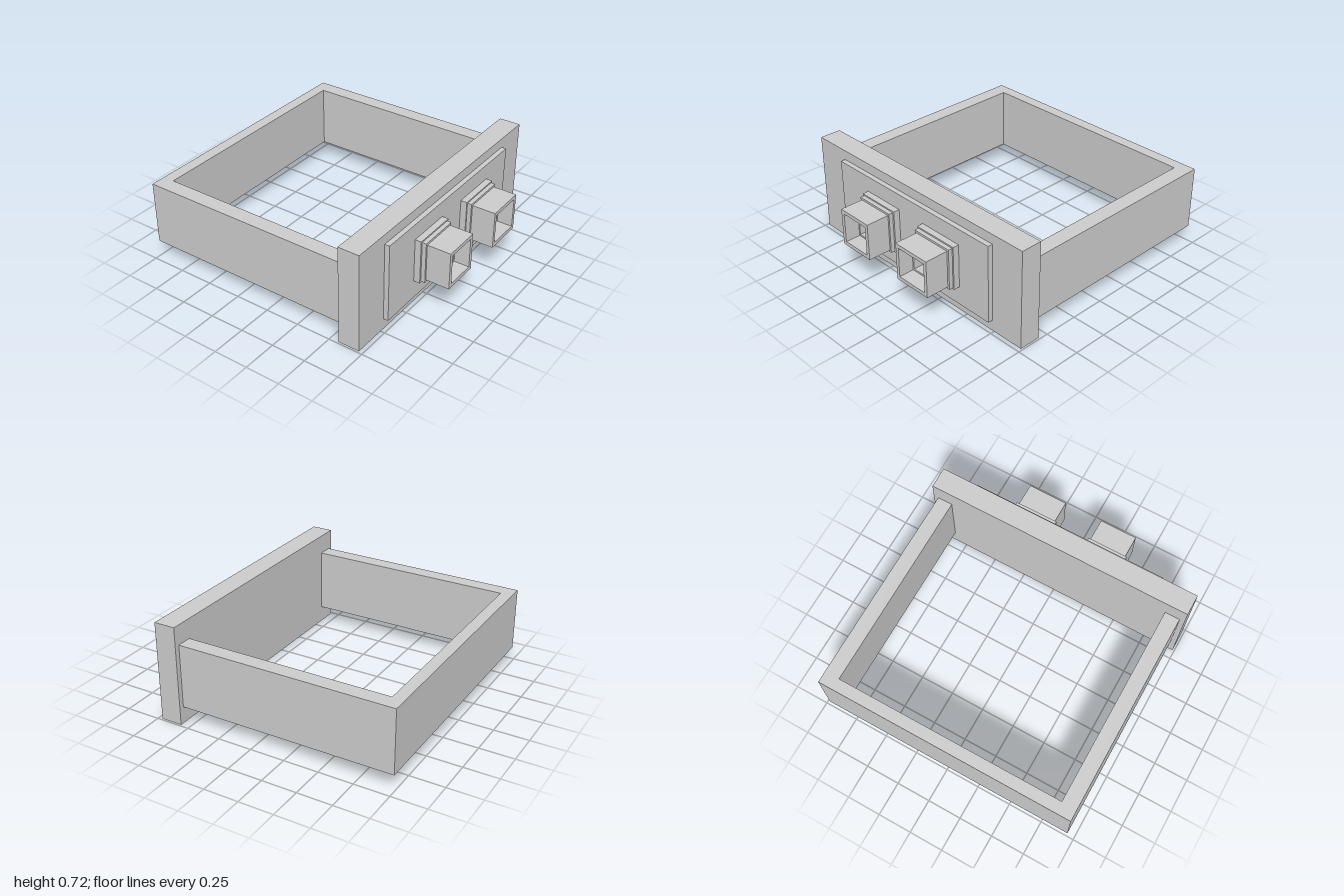
import * as THREE from 'three';

const material = new THREE.MeshStandardMaterial({ color: 0xcccccc, flatShading: true });

function add(parent, name, geometry) {
  const mesh = new THREE.Mesh(geometry, material);
  mesh.name = name;
  parent.add(mesh);
  return mesh;
}

// Box given by its extents on each axis
function box(parent, name, [x0, x1], [y0, y1], [z0, z1]) {
  const geometry = new THREE.BoxGeometry(x1 - x0, y1 - y0, z1 - z0);
  geometry.translate((x0 + x1) / 2, (y0 + y1) / 2, (z0 + z1) / 2);
  return add(parent, name, geometry);
}

function rectangle(PathType, w, h) {
  return new PathType([[-w, -h], [w, -h], [w, h], [-w, h]]
    .map(([x, y]) => new THREE.Vector2(x / 2, y / 2)));
}

// Rectangular ring running from z0 to z1
function frame(parent, name, [w, h], [holeW, holeH], z0, z1) {
  const shape = rectangle(THREE.Shape, w, h);
  shape.holes.push(rectangle(THREE.Path, holeW, holeH));
  const geometry = new THREE.ExtrudeGeometry(shape, { depth: z1 - z0, bevelEnabled: false });
  geometry.translate(0, 0, z0);
  return add(parent, name, geometry);
}

// Square hollow handle on two stepped collars
function createKnob(name, x, widths, holeW, innerW) {
  const knob = new THREE.Group();
  knob.name = name;
  knob.position.set(x, 0.375, 0);
  const [base, collar, tube] = widths;
  box(knob, 'baseCollar', [-base / 2, base / 2], [-0.16, 0.16], [0.755, 0.8]);
  frame(knob, 'upperCollar', [collar, 0.3], [innerW, 0.19], 0.8, 0.83);
  frame(knob, 'tubeInner', [tube, 0.27], [innerW, 0.19], 0.83, 0.89);
  frame(knob, 'tubeRim', [tube, 0.27], [holeW, 0.215], 0.89, 1);
  return knob;
}

export function createModel() {
  const model = new THREE.Group();
  model.name = 'drawer';

  // Front panel with raised plate
  box(model, 'frontPanel', [-0.987, 0.987], [0, 0.72], [0.565, 0.72]);
  box(model, 'raisedPlate', [-0.72, 0.735], [0.08, 0.65], [0.72, 0.755]);

  // U-shaped open frame: two sides and the back in one piece
  const outline = [
    [-0.95, -0.565], [-0.84, -0.565], [-0.84, 0.915], [0.84, 0.915],
    [0.84, -0.565], [0.95, -0.565], [0.95, 1], [-0.95, 1],
  ].map(([x, y]) => new THREE.Vector2(x, y));
  const walls = new THREE.ExtrudeGeometry(new THREE.Shape(outline), { depth: 0.46, bevelEnabled: false });
  walls.rotateX(-Math.PI / 2).translate(0, 0.12, 0);
  add(model, 'sideAndBackWalls', walls);

  // Pair of handles
  model.add(createKnob('rightKnob', -0.268, [0.325, 0.3, 0.275], 0.22, 0.2));
  model.add(createKnob('leftKnob', 0.3, [0.34, 0.32, 0.29], 0.24, 0.215));

  return model;
}
